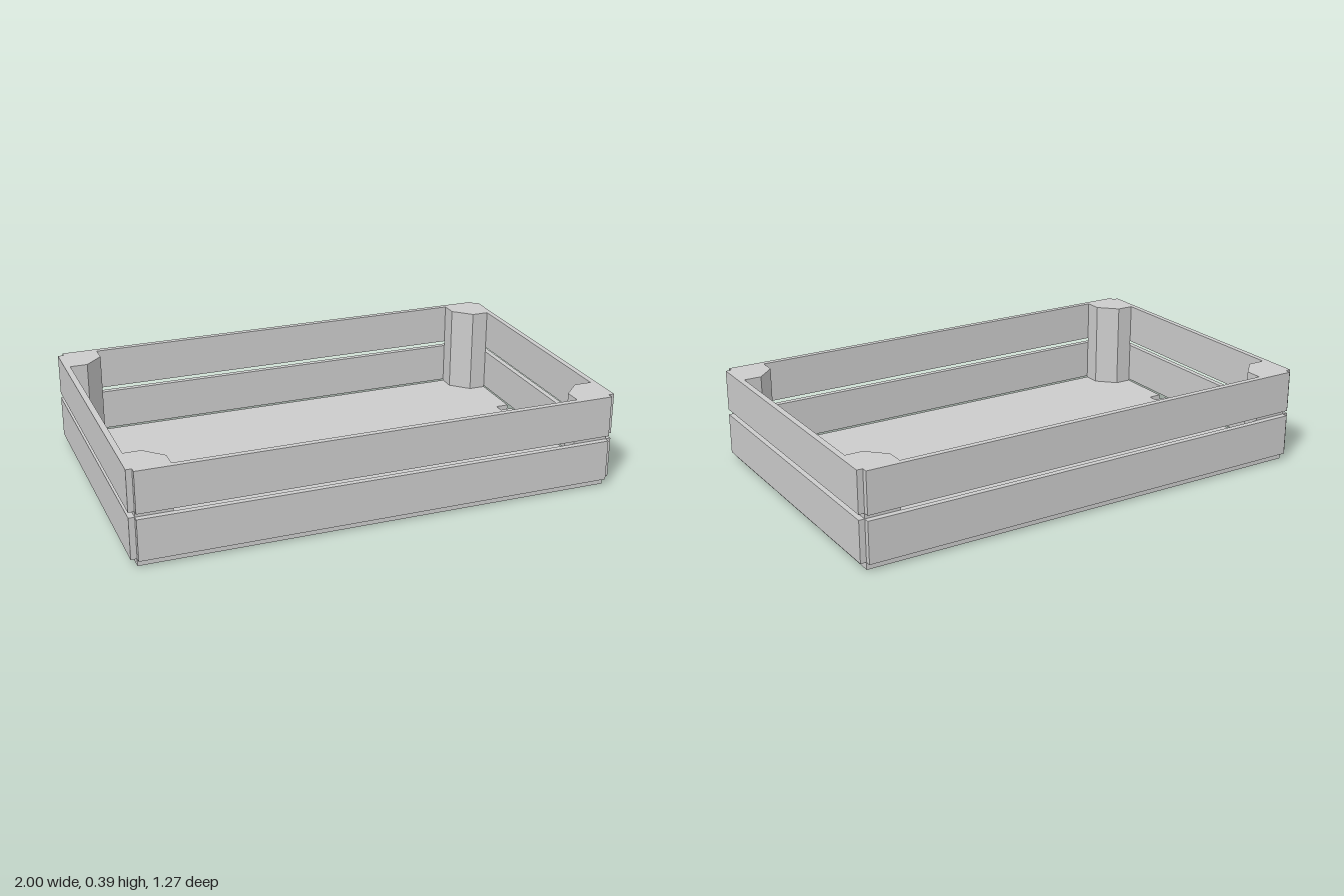
import * as THREE from 'three';

const material = new THREE.MeshStandardMaterial({ color: 0xcccccc, flatShading: true });

const INNER_X = 0.976, INNER_Z = 0.611; // inside faces of the slats
const THICK = 0.024;                    // board thickness
const TOP = 0.394;
const SLAT_H = 0.171;

function addMesh(group, name, geometry) {
  const mesh = new THREE.Mesh(geometry, material);
  mesh.name = name;
  group.add(mesh);
  return mesh;
}

// Extrude a plan outline of [x, z] points upward from y0 to y1
function prism(points, y0, y1) {
  const shape = new THREE.Shape(points.map(([x, z]) => new THREE.Vector2(x, -z)));
  const geometry = new THREE.ExtrudeGeometry(shape, { depth: y1 - y0, bevelEnabled: false });
  return geometry.rotateX(-Math.PI / 2).translate(0, y0, 0);
}

export function createModel() {
  const crate = new THREE.Group();
  crate.name = 'crate';

  // Floor panel with two open slots in each short edge
  const slotX = 0.921, s0 = 0.182, s1 = 0.224;
  const edge = [
    [INNER_X, -INNER_Z], [INNER_X, -s1], [slotX, -s1], [slotX, -s0], [INNER_X, -s0],
    [INNER_X, s0], [slotX, s0], [slotX, s1], [INNER_X, s1], [INNER_X, INNER_Z],
  ];
  const outline = [...edge, ...edge.map(([x, z]) => [-x, -z])];
  addMesh(crate, 'floorPanel', prism(outline, 0, THICK));

  // Chamfered corner posts standing on the floor
  const post = [
    [INNER_X, INNER_Z], [INNER_X, 0.467], [0.904, 0.467], [0.831, 0.54], [0.831, INNER_Z],
  ];
  for (const sx of [1, -1]) {
    for (const sz of [1, -1]) {
      const name = (sz > 0 ? 'front' : 'back') + (sx > 0 ? 'Left' : 'Right') + 'Post';
      addMesh(crate, name, prism(post.map(([x, z]) => [x * sx, z * sz]), THICK, TOP));
    }
  }

  // Two tiers of slats around the outside
  const tiers = { lower: 0.03 + SLAT_H / 2, upper: TOP - SLAT_H / 2 };
  for (const [tier, y] of Object.entries(tiers)) {
    for (const s of [1, -1]) {
      addMesh(crate, tier + (s > 0 ? 'Front' : 'Back') + 'Slat',
        new THREE.BoxGeometry(2 * INNER_X, SLAT_H, THICK))
        .position.set(0, y, s * (INNER_Z + THICK / 2));
      addMesh(crate, tier + (s > 0 ? 'Left' : 'Right') + 'Slat',
        new THREE.BoxGeometry(THICK, SLAT_H, 2 * INNER_Z))
        .position.set(s * (INNER_X + THICK / 2), y, 0);
    }
  }

  return crate;
}
